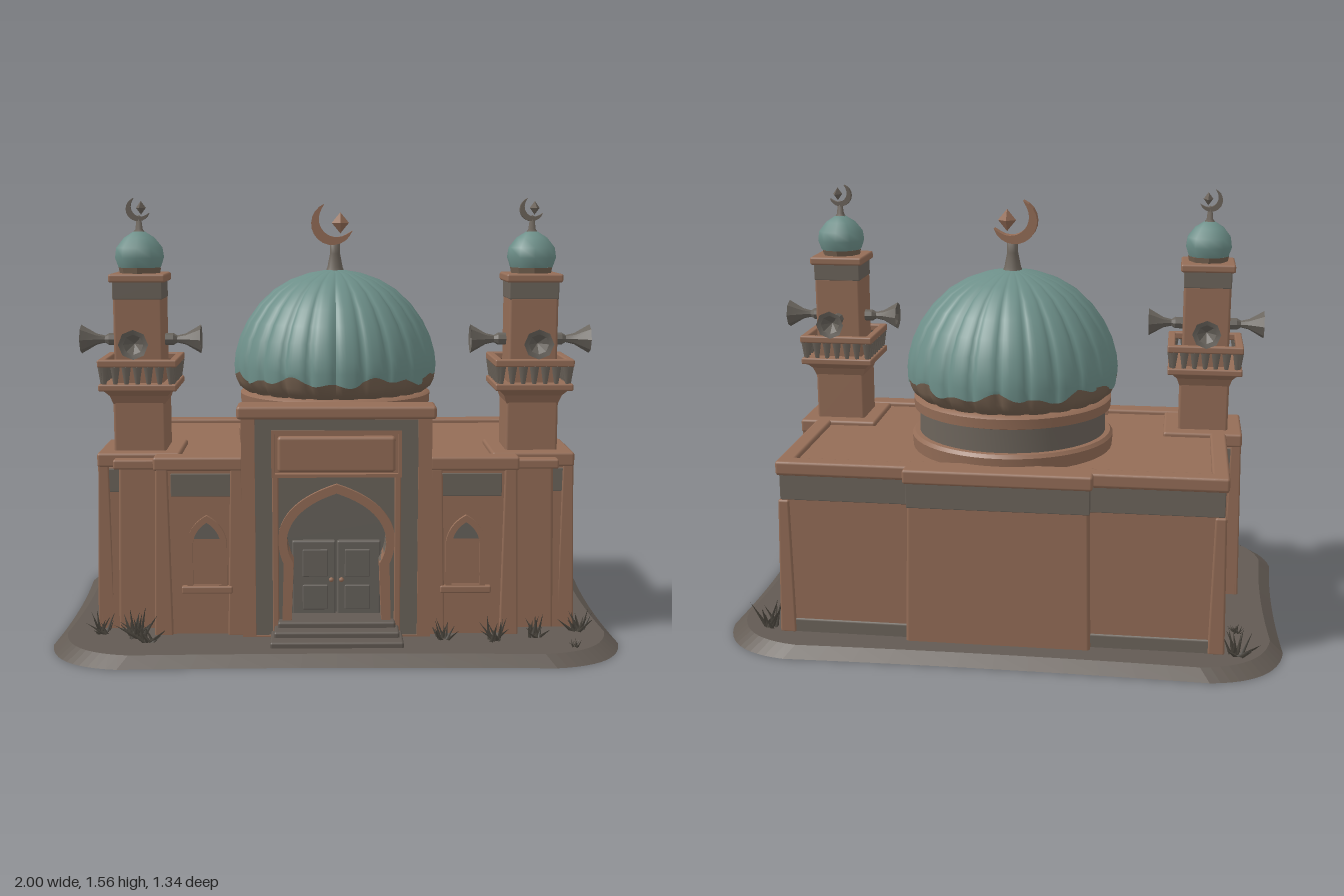
import * as THREE from 'three';
import { RoundedBoxGeometry } from 'three/addons/geometries/RoundedBoxGeometry.js';
import { mergeGeometries, toCreasedNormals } from 'three/addons/utils/BufferGeometryUtils.js';

const mat = (name, color, opts = {}) => Object.assign(new THREE.MeshStandardMaterial({ color, ...opts }), { name });
const clay = mat('clay brown', 0x946d57);
const teal = mat('dome teal', 0x6d8f89);
const stone = mat('stone grey', 0x6c645b);
const slate = mat('door grey', 0x68635d);
const fringe = mat('weathered fringe', 0x74604f);
const ground = mat('ground', 0x625a53);
const horn = mat('horn grey', 0x67625b, { side: THREE.DoubleSide });
const grass = mat('dry grass', 0x4b463e);

function add(parent, name, geo, material, x = 0, y = 0, z = 0) {
  const m = new THREE.Mesh(geo, material);
  m.name = name;
  m.position.set(x, y, z);
  parent.add(m);
  return m;
}
// Soft-edged block given by its limits; grow widens the foot
function block(parent, name, material, x0, x1, y0, y1, z0, z1, r = 0.01, grow = 0) {
  const w = x1 - x0, h = y1 - y0, d = z1 - z0;
  const g = new RoundedBoxGeometry(w, h, d, 2, Math.min(r, w / 3, h / 3, d / 3));
  const p = g.attributes.position;
  for (let i = 0; i < p.count; i++) {
    const t = Math.max(0, 0.5 - p.getY(i) / h) ** 3 * grow;
    p.setX(i, p.getX(i) + Math.sign(p.getX(i)) * t);
    p.setZ(i, p.getZ(i) + Math.sign(p.getZ(i)) * t);
  }
  return add(parent, name, g, material, (x0 + x1) / 2, (y0 + y1) / 2, (z0 + z1) / 2);
}
const extrude = (shape, depth, bevel = 0) => new THREE.ExtrudeGeometry(shape, {
  depth, curveSegments: 12, bevelEnabled: bevel > 0, bevelSize: bevel, bevelThickness: bevel, bevelSegments: 1 });

function rect(x0, x1, y0, y1) {
  return new THREE.Shape([[x0, y0], [x1, y0], [x1, y1], [x0, y1]].map(p => new THREE.Vector2(...p)));
}
// Pointed arch, pinched inwards below the spring line
function arch(w, y0, spring, top, pinch = 0) {
  const s = new THREE.Shape();
  s.moveTo(-w + pinch * 0.6, y0);
  s.lineTo(w - pinch * 0.6, y0);
  s.lineTo(w - pinch, spring - 0.03);
  s.quadraticCurveTo(w + pinch * 0.6, spring + 0.02, w, spring + (top - spring) * 0.35);
  s.quadraticCurveTo(w * 0.85, top - (top - spring) * 0.22, 0, top);
  s.quadraticCurveTo(-w * 0.85, top - (top - spring) * 0.22, -w, spring + (top - spring) * 0.35);
  s.quadraticCurveTo(-w - pinch * 0.6, spring + 0.02, -w + pinch, spring - 0.03);
  s.closePath();
  return s;
}
function withHole(outer, inner) { outer.holes.push(inner); return outer; }

function crescent(r, thick, depth) {
  const pts = [], n = 14, ang = t => (1.95 + t * 4.0);
  for (let i = 0; i <= n; i++) pts.push(new THREE.Vector2(Math.cos(ang(i / n)) * r, Math.sin(ang(i / n)) * r));
  for (let i = n - 1; i > 0; i--) {
    const q = r - thick * Math.sin(Math.PI * i / n) ** 0.7;
    pts.push(new THREE.Vector2(Math.cos(ang(i / n)) * q, Math.sin(ang(i / n)) * q));
  }
  return extrude(new THREE.Shape(pts), depth).translate(0, 0, -depth / 2);
}
function lathe(points, seg) { return new THREE.LatheGeometry(points.map(p => new THREE.Vector2(...p)), seg); }

// Ribbed dome surface; the colour border at y = 0.91 is wavy
function ribbed(points) {
  const g = lathe(points, 192), p = g.attributes.position;
  for (let i = 0; i < p.count; i++) {
    const x = p.getX(i), y = p.getY(i), z = p.getZ(i), a = Math.atan2(z, x);
    const k = 1 - 0.035 * (1 - Math.abs(Math.sin(12 * a))) ** 2;
    const dy = Math.abs(y - 0.91) < 1e-4 ? 0.012 * Math.sin(7 * a) + 0.01 * Math.sin(16 * a + 1) : 0;
    p.setXYZ(i, x * k, y + dy, z * k);
  }
  g.computeVertexNormals();
  return g;
}

function buildMinaret(side) {
  const g = new THREE.Group();
  g.name = side > 0 ? 'leftMinaret' : 'rightMinaret';
  const sq = (name, m, h, y0, y1, r, grow) => block(g, name, m, -h, h, y0, y1, -h, h, r, grow);
  sq('towerBase', clay, 0.138, 0.02, 0.63, 0.015, 0.02);
  sq('towerBand', stone, 0.141, 0.53, 0.615, 0.003);
  sq('towerCornice', clay, 0.147, 0.62, 0.672);
  for (const x of [-0.125, 0.125]) for (const z of [-0.125, 0.125])
    block(g, 'cornerPier', clay, x - 0.019, x + 0.019, 0.03, 0.63, z - 0.019, z + 0.019, 0.006, 0.012);
  sq('lowerShaft', clay, 0.093, 0.66, 0.88);
  const flare = toCreasedNormals(lathe([[0.13, 0.84], [0.145, 0.87], [0.185, 0.9]], 4).rotateY(Math.PI / 4), 0.3);
  add(g, 'balconyFlare', flare, clay);
  sq('balconyFloor', clay, 0.138, 0.89, 0.915, 0.006);
  sq('upperShaft', clay, 0.087, 0.9, 1.22);
  sq('neckBand', stone, 0.088, 1.21, 1.275, 0.004);
  sq('capSlab', clay, 0.1, 1.27, 1.3, 0.008);
  // Balcony railing with pointed balusters
  const posts = [];
  for (let q = 0; q < 4; q++) {
    const rail = block(g, 'balconyRail', clay, -0.14, 0.14, 0.975, 1.002, 0.112, 0.14, 0.006);
    rail.geometry.translate(0, 0, 0.126).rotateY(q * Math.PI / 2);
    rail.position.z = 0;
    for (let i = -3; i <= 3; i++)
      posts.push(new THREE.CylinderGeometry(0.017, 0.007, 0.066, 4).translate(i * 0.039, 0.944, 0.124).rotateY(q * Math.PI / 2));
    const h = lathe([[0.022, 0.08], [0.022, 0.115], [0.013, 0.13], [0.02, 0.16], [0.052, 0.215], [0.035, 0.21], [0, 0.17]], 8);
    add(g, 'loudHorn', toCreasedNormals(h.rotateX(Math.PI / 2).rotateY(q * Math.PI / 2), 0.4), horn, 0, 1.063, 0);
  }
  add(g, 'balusters', mergeGeometries(posts), stone);
  // Small dome and finial
  add(g, 'domeletFoot', toCreasedNormals(lathe([[0.07, 1.29], [0.076, 1.32]], 8), 0.3), fringe);
  add(g, 'domelet', lathe([[0.076, 1.32], [0.088, 1.355], [0.083, 1.39], [0.055, 1.425], [0.02, 1.447], [0, 1.45]], 10), teal);
  add(g, 'finialStem', lathe([[0.03, 1.435], [0.014, 1.455], [0.008, 1.5], [0, 1.505]], 6), stone);
  add(g, 'finialCrescent', crescent(0.042, 0.02, 0.018), stone, -0.003, 1.525, 0);
  add(g, 'finialStar', new THREE.OctahedronGeometry(0.022).scale(0.8, 1.1, 2.3), stone, 0.008, 1.53, 0);
  g.position.set(side * 0.7, 0, 0.172);
  return g;
}

function buildPortal() {
  const g = new THREE.Group();
  g.name = 'portal';
  const door = () => arch(0.17, 0.09, 0.33, 0.55, 0.02);
  add(g, 'portalFrame', extrude(withHole(rect(-0.33, 0.33, 0.03, 0.83), rect(-0.283, 0.283, 0.04, 0.81)), 0.14), clay, 0, 0, 0.297);
  block(g, 'portalCap', clay, -0.345, 0.345, 0.81, 0.857, 0.327, 0.445, 0.012);
  add(g, 'portalBorder', extrude(withHole(rect(-0.284, 0.284, 0.04, 0.811), rect(-0.222, 0.222, 0.041, 0.765)), 0.125), stone, 0, 0, 0.302);
  add(g, 'portalField', extrude(withHole(rect(-0.224, 0.224, 0.04, 0.61), door()), 0.09), stone, 0, 0, 0.328);
  block(g, 'portalBack', clay, -0.29, 0.29, 0.6, 0.83, 0.335, 0.405, 0.005);
  block(g, 'portalPanel', clay, -0.205, 0.205, 0.622, 0.748, 0.38, 0.428, 0.012);
  const frame = withHole(rect(-0.226, 0.226, 0.605, 0.77), rect(-0.214, 0.214, 0.617, 0.758));
  add(g, 'panelFrame', extrude(frame, 0.03), clay, 0, 0, 0.4);
  add(g, 'archTrim', extrude(withHole(arch(0.2, 0.07, 0.33, 0.582, 0.015), door()), 0.1), clay, 0, 0, 0.336);
  for (const s of [-1, 1]) {
    block(g, 'jamb', clay, s * 0.213 - 0.011, s * 0.213 + 0.011, 0.05, 0.61, 0.36, 0.43, 0.004);
    block(g, 'doorLeaf', slate, s * 0.08 - 0.077, s * 0.08 + 0.077, 0.08, 0.36, 0.325, 0.352, 0.006);
    for (const [a, b] of [[0.11, 0.2], [0.23, 0.33]])
      block(g, 'doorPanel', slate, s * 0.075 - 0.045, s * 0.075 + 0.045, a, b, 0.345, 0.358, 0.004);
    add(g, 'doorHandle', new THREE.SphereGeometry(0.009, 8, 6), clay, s * 0.018, 0.22, 0.358);
  }
  add(g, 'tympanum', extrude(arch(0.185, 0.08, 0.33, 0.565), 0.008), slate, 0, 0, 0.325);
  for (let i = 0; i < 3; i++)
    block(g, 'step', ground, -0.23 + i * 0.012, 0.23 - i * 0.012, 0.01, 0.055 + i * 0.02, 0.3, 0.56 - i * 0.05, 0.008);
  return g;
}

function buildFrontWing(side) {
  const g = new THREE.Group();
  g.name = side > 0 ? 'leftFrontWing' : 'rightFrontWing';
  block(g, 'wingWall', clay, -0.16, 0.15, 0.02, 0.64, 0.2, 0.388, 0.01, 0.01);
  block(g, 'wingCornice', clay, -0.16, 0.155, 0.622, 0.672, 0.325, 0.402, 0.01);
  block(g, 'wingBand', stone, -0.115, 0.095, 0.53, 0.612, 0.37, 0.391, 0.003);
  for (const x of [-0.135, 0.125]) block(g, 'wingPier', clay, x - 0.021, x + 0.021, 0.03, 0.63, 0.36, 0.4, 0.006, 0.012);
  add(g, 'windowFrame', extrude(withHole(arch(0.07, 0.195, 0.32, 0.465), arch(0.05, 0.215, 0.32, 0.44)), 0.022), clay, -0.03, 0, 0.385);
  add(g, 'windowPane', extrude(arch(0.053, 0.21, 0.32, 0.443), 0.006), slate, -0.03, 0, 0.386);
  block(g, 'windowSill', clay, -0.12, 0.06, 0.185, 0.212, 0.38, 0.414, 0.006);
  g.position.x = side * 0.485;
  if (side < 0) g.children.forEach(c => { c.position.x *= -1; });
  return g;
}

function buildHall() {
  const g = new THREE.Group();
  g.name = 'prayerHall';
  block(g, 'hallWalls', clay, -0.772, 0.772, 0.02, 0.63, -0.5, 0.32, 0.012, 0.012);
  block(g, 'hallBand', stone, -0.775, 0.775, 0.53, 0.625, -0.503, 0.3, 0.003);
  block(g, 'rearBay', clay, -0.315, 0.315, 0.02, 0.63, -0.533, -0.3, 0.012, 0.012);
  block(g, 'rearBayBand', stone, -0.318, 0.318, 0.53, 0.625, -0.536, -0.3, 0.003);
  block(g, 'hallFoot', stone, -0.784, 0.784, 0.02, 0.085, -0.515, 0.2, 0.008);
  block(g, 'roof', clay, -0.785, 0.785, 0.62, 0.655, -0.51, 0.36, 0.008);
  block(g, 'rearBayRoof', clay, -0.328, 0.328, 0.62, 0.672, -0.552, -0.44, 0.01);
  for (const s of [-1, 1]) {
    block(g, 'sideParapet', clay, s * 0.757 - 0.03, s * 0.757 + 0.03, 0.622, 0.672, -0.512, 0.1, 0.01);
    block(g, 'sidePier', clay, s * 0.762 - 0.02, s * 0.762 + 0.02, 0.03, 0.53, -0.51, -0.47, 0.008, 0.01);
  }
  block(g, 'rearParapet', clay, -0.787, 0.787, 0.622, 0.672, -0.512, -0.45, 0.01);
  return g;
}

function buildDome() {
  const g = new THREE.Group();
  g.name = 'mainDome';
  const ring = (name, m, pts) => add(g, name, toCreasedNormals(lathe(pts, 48), 0.6), m);
  ring('drumFoot', clay, [[0.365, 0.64], [0.37, 0.7], [0.36, 0.712], [0.33, 0.714]]);
  ring('drum', stone, [[0.342, 0.7], [0.34, 0.81]]);
  ring('drumRing', clay, [[0.335, 0.795], [0.36, 0.803], [0.362, 0.838], [0.345, 0.85], [0.3, 0.852]]);
  add(g, 'domeFringe', ribbed([[0.34, 0.845], [0.365, 0.865], [0.377, 0.89], [0.382, 0.91]]), fringe);
  add(g, 'domeShell', ribbed([[0.382, 0.91], [0.384, 0.945], [0.379, 0.99], [0.362, 1.05], [0.333, 1.11], [0.29, 1.17],
    [0.235, 1.223], [0.17, 1.262], [0.1, 1.287], [0.04, 1.298], [0, 1.3]]), teal);
  add(g, 'spire', lathe([[0.04, 1.285], [0.03, 1.31], [0.02, 1.36], [0.02, 1.4], [0, 1.41]], 10), stone);
  add(g, 'crescent', crescent(0.08, 0.036, 0.045), clay, -0.01, 1.472, 0);
  add(g, 'star', new THREE.OctahedronGeometry(0.036).scale(0.9, 1.1, 0.9), clay, 0.02, 1.475, 0);
  g.position.z = -0.105;
  return g;
}

function buildGround() {
  const s = new THREE.Shape(), X = 1, Z = 0.67, r = 0.26;
  s.moveTo(-X + r, -Z);
  s.quadraticCurveTo(0, -Z + 0.025, X - r, -Z);
  s.quadraticCurveTo(X - 0.03, -Z + 0.03, X, -Z + r);
  s.quadraticCurveTo(X - 0.03, 0, X, Z - r);
  s.quadraticCurveTo(X - 0.03, Z - 0.03, X - r, Z);
  s.quadraticCurveTo(0, Z - 0.025, -X + r, Z);
  s.quadraticCurveTo(-X + 0.03, Z - 0.03, -X, Z - r);
  s.quadraticCurveTo(-X + 0.03, 0, -X, -Z + r);
  s.quadraticCurveTo(-X + 0.03, -Z + 0.03, -X + r, -Z);
  const g = extrude(s, 0.035), p = g.attributes.position;
  for (let i = 0; i < p.count; i++) if (p.getZ(i) > 0.01) p.setXY(i, p.getX(i) * 0.955, p.getY(i) * 0.935);
  g.rotateX(-Math.PI / 2).computeVertexNormals();
  return g;
}

// Grass tufts: leaning three-sided blades, [x, z, size]
function buildGrass() {
  let seed = 7;
  const rnd = () => (seed = (seed * 16807) % 2147483647) / 2147483647;
  const spots = [[-0.83, -0.51, 1], [0.84, -0.48, 1.1], [-0.83, 0.38, 0.9], [-0.7, 0.44, 1.2], [-0.66, 0.48, 0.8], [0.37, 0.46, 0.8],
    [0.55, 0.48, 0.9], [0.7, 0.44, 0.9], [0.86, 0.37, 0.9], [-0.84, -0.33, 0.5], [0.82, -0.33, 0.5], [0.87, 0.1, 0.4], [0.82, 0.55, 0.4]];
  const blades = [];
  for (const [x, z, k] of spots) for (let i = 0; i < 14; i++) {
    const h = k * (0.05 + 0.06 * rnd());
    blades.push(new THREE.ConeGeometry(0.009 * k, h, 3).translate(0, h / 2, 0).rotateZ(0.15 + 0.9 * rnd())
      .rotateY(i * 2.4).translate(x + (rnd() - 0.5) * 0.04 * k, 0.028, z + (rnd() - 0.5) * 0.04 * k));
  }
  return mergeGeometries(blades);
}

export function createModel() {
  const model = new THREE.Group();
  model.name = 'domedHall';
  add(model, 'groundSlab', buildGround(), ground);
  model.add(buildHall(), buildPortal(), buildDome());
  for (const side of [-1, 1]) model.add(buildMinaret(side), buildFrontWing(side));
  add(model, 'grassTufts', buildGrass(), grass);
  return model;
}
